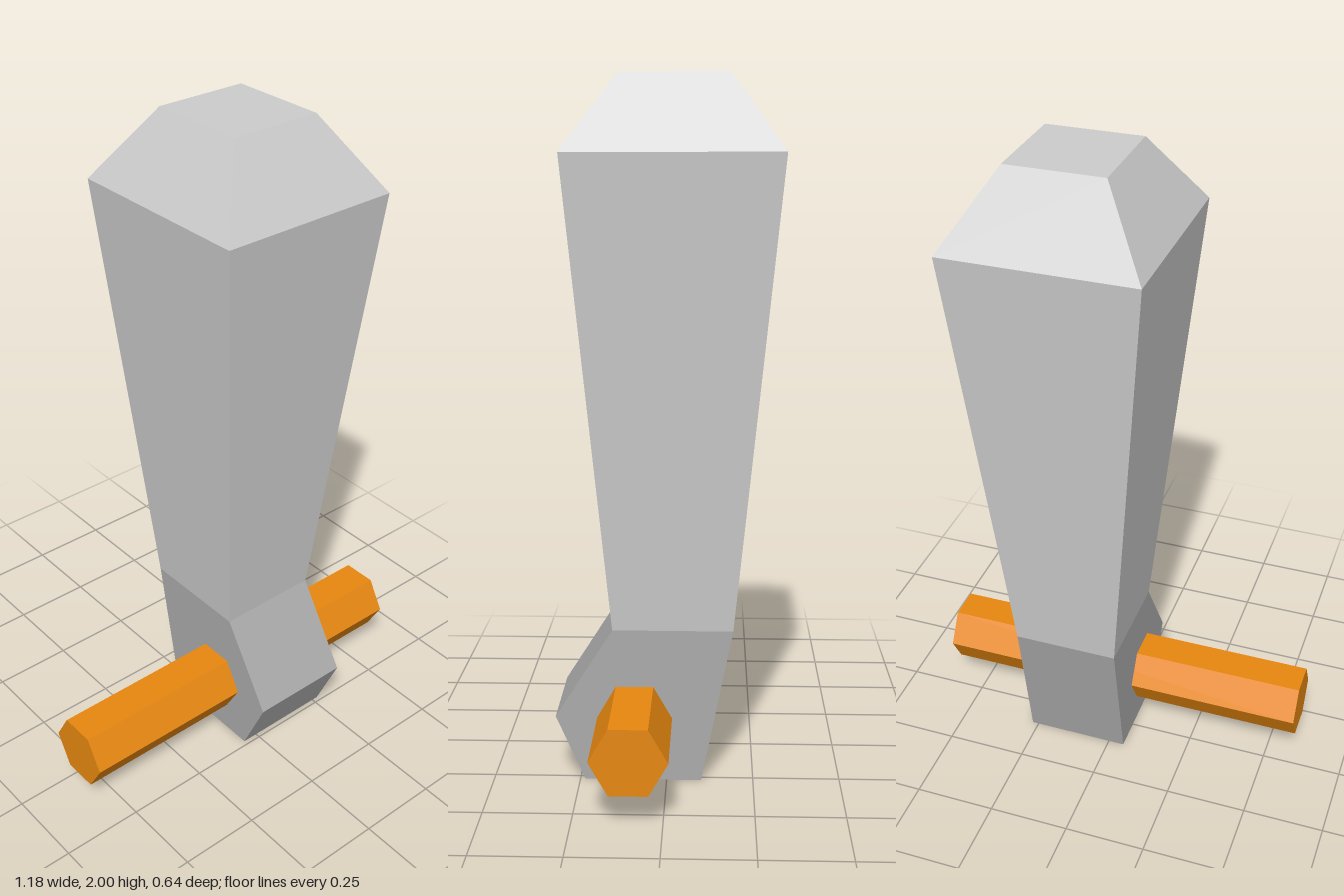
import * as THREE from 'three';

const material = (color) => new THREE.MeshStandardMaterial({ color, flatShading: true });

// Box with one vertical segment per gap, reshaped to a rectangle at each level.
// Level: [y, xMin, xMax, zMin, zMax], bottom to top.
function loftBox(levels) {
  const n = levels.length - 1;
  const geo = new THREE.BoxGeometry(1, 1, 1, 1, n, 1);
  const pos = geo.attributes.position;
  for (let i = 0; i < pos.count; i++) {
    const [y, x0, x1, z0, z1] = levels[Math.round((pos.getY(i) + 0.5) * n)];
    pos.setXYZ(i, pos.getX(i) < 0 ? x0 : x1, y, pos.getZ(i) < 0 ? z0 : z1);
  }
  geo.computeVertexNormals();
  return geo;
}

export function createModel() {
  const group = new THREE.Group();
  const add = (name, geometry, color) => {
    const mesh = new THREE.Mesh(geometry, material(color));
    mesh.name = name;
    group.add(mesh);
    return mesh;
  };

  // Flared shaft with bevelled top
  add('shaft', loftBox([
    [0.45, -0.05, 0.27, -0.19, 0.155],
    [1.787, -0.17, 0.394, -0.32, 0.28],
    [2, -0.03, 0.255, -0.173, 0.13],
  ]), 0xcccccc);

  // Angled foot: side profile in (z, y), extruded across x
  const profile = new THREE.Shape([
    [-0.1, 0], [0.235, 0], [0.32, 0.19], [0.155, 0.45], [-0.19, 0.45],
  ].map(([z, y]) => new THREE.Vector2(z, y)));
  const foot = new THREE.ExtrudeGeometry(profile, { depth: 0.32, bevelEnabled: false });
  foot.rotateY(-Math.PI / 2).translate(0.27, 0, 0);
  add('foot', foot, 0xaaaaaa);

  // Hexagonal cross bar through the foot
  const bar = new THREE.CylinderGeometry(0.108, 0.108, 1.18, 6);
  bar.rotateZ(Math.PI / 2);
  add('crossBar', bar, 0xe68710).position.set(0, 0.188, 0.092);

  return group;
}
